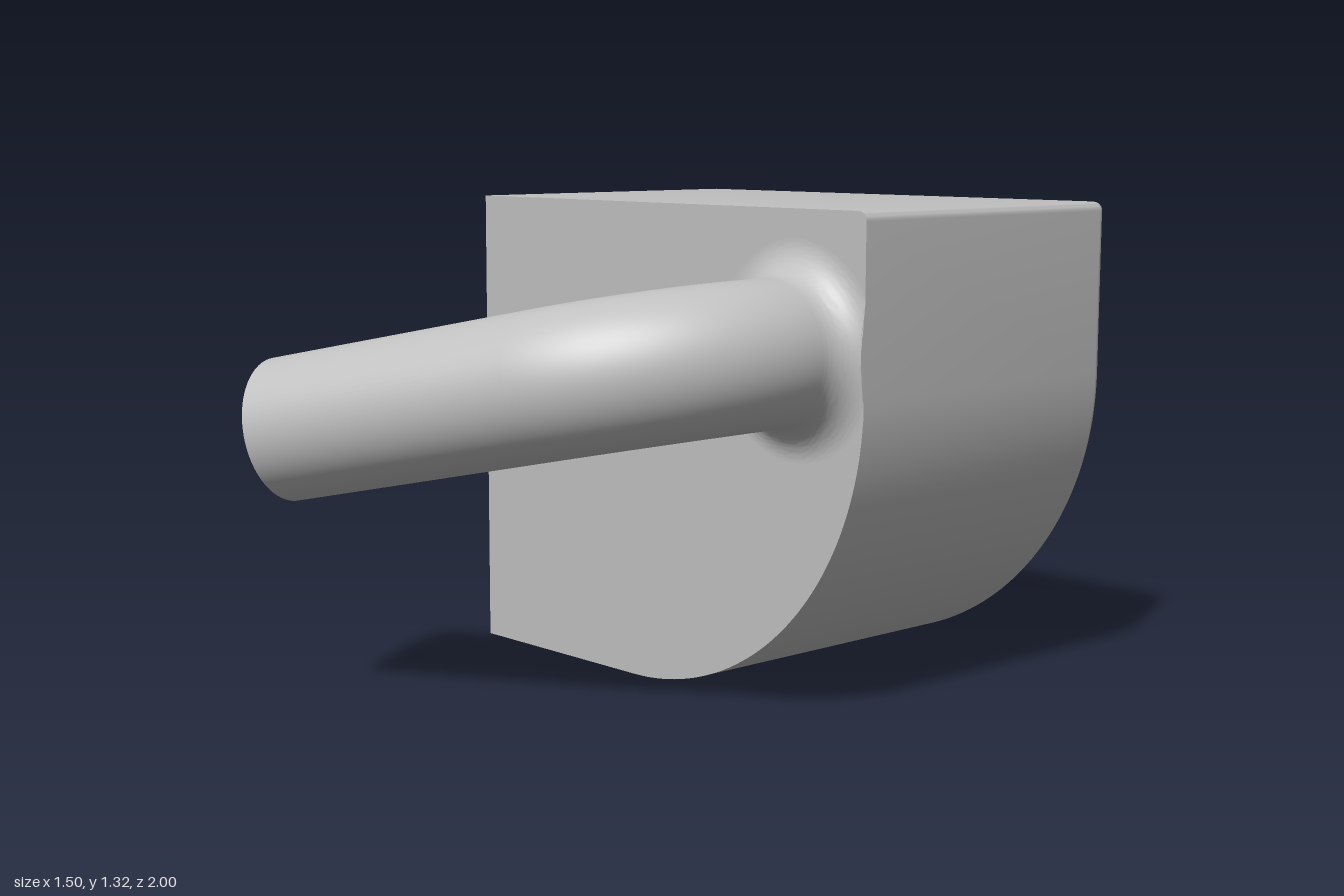
import * as THREE from 'three';
import { toCreasedNormals } from 'three/addons/utils/BufferGeometryUtils.js';

const FRONT = -0.04, BACK = -1, LEFT = -0.755, RIGHT = 0.75, TOP = 1.315;
const FILLET = 0.025, BIG = 0.85;
const TUBE = 0.19, FLARE = 0.095, SIDES = 96;

// Skin a list of closed rings, with optional flat caps at the first and last.
function loft(rings, capFirst, capLast) {
  const n = rings[0].length, index = [];
  const positions = rings.flat().flatMap((p) => [p.x, p.y, p.z]);
  for (let k = 0; k < rings.length - 1; k++) {
    for (let i = 0; i < n; i++) {
      const a = k * n + i, b = k * n + (i + 1) % n;
      index.push(a, a + n, b, b, a + n, b + n);
    }
  }
  const last = (rings.length - 1) * n;
  for (let i = 1; i < n - 1; i++) {
    if (capFirst) index.push(0, i, i + 1);
    if (capLast) index.push(last, last + i + 1, last + i);
  }
  const geometry = new THREE.BufferGeometry();
  geometry.setAttribute('position', new THREE.Float32BufferAttribute(positions, 3));
  geometry.setIndex(index);
  return toCreasedNormals(geometry, 0.6);
}

// Block outline, inset by t on every side but the left one.
function outline(t, z) {
  const ring = [new THREE.Vector3(LEFT, t, z)];
  const arc = (cx, cy, r, from, steps) => {
    for (let i = 0; i <= steps; i++) {
      const a = from + (i / steps) * Math.PI / 2;
      ring.push(new THREE.Vector3(cx + r * Math.cos(a), cy + r * Math.sin(a), z));
    }
  };
  arc(RIGHT - BIG, BIG, BIG - t, -Math.PI / 2, 48);
  arc(RIGHT - FILLET, TOP - FILLET, FILLET - t, 0, 6);
  ring.push(new THREE.Vector3(LEFT, TOP - t, z));
  return ring;
}

// Circle around a centre; axisA x axisB points along the tube.
function circle(center, axisA, axisB, r) {
  return Array.from({ length: SIDES }, (_, i) => {
    const a = (i / SIDES) * Math.PI * 2;
    return center.clone().addScaledVector(axisA, r * Math.cos(a)).addScaledVector(axisB, r * Math.sin(a));
  });
}

export function createModel() {
  const group = new THREE.Group();
  const grey = new THREE.MeshStandardMaterial({ color: 0xc0c0c0 });
  grey.name = 'plain grey';
  const add = (name, geometry) => {
    const mesh = new THREE.Mesh(geometry, grey);
    mesh.name = name;
    group.add(mesh);
  };

  // Block with a filleted back edge
  const blockRings = [outline(0, FRONT)];
  for (let i = 0; i <= 6; i++) {
    const a = (i / 6) * Math.PI / 2;
    blockRings.push(outline(FILLET * (1 - Math.cos(a)), BACK + FILLET * (1 - Math.sin(a))));
  }
  add('block', loft(blockRings, true, true));

  // Bent handle: a circular bend followed by a straight run
  const root = new THREE.Vector3(0.513, 0.955, FRONT + FLARE);
  const side = new THREE.Vector3(-0.976, -0.215, 0).normalize();
  const forward = new THREE.Vector3(0, 0, 1);
  const across = forward.clone().cross(side);
  const bendRadius = 0.515, bendAngle = 1.182, straight = 0.772, steps = 32;
  const handleRings = [];
  for (let i = 0; i <= steps + 1; i++) {
    const a = bendAngle * Math.min(i / steps, 1);
    const center = root.clone()
      .addScaledVector(side, bendRadius * (1 - Math.cos(a)))
      .addScaledVector(forward, bendRadius * Math.sin(a));
    const along = side.clone().multiplyScalar(Math.sin(a)).addScaledVector(forward, Math.cos(a));
    if (i > steps) center.addScaledVector(along, straight);
    const axisA = side.clone().multiplyScalar(Math.cos(a)).addScaledVector(forward, -Math.sin(a));
    handleRings.unshift(circle(center, axisA, across, TUBE));
  }
  add('handle', loft(handleRings, true, false));

  // Flared root, trimmed flush with the side of the block
  const flareRings = [];
  for (let i = 0; i <= 24; i++) {
    const a = (i / 24) * Math.PI / 2;
    const center = new THREE.Vector3(root.x, root.y, root.z - FLARE * Math.sin(a));
    const ring = circle(center, side, across, TUBE + FLARE * (1 - Math.cos(a)));
    ring.forEach((p) => { p.x = Math.min(p.x, RIGHT); });
    flareRings.push(ring);
  }
  add('handleFlare', loft(flareRings, false, false));

  return group;
}
